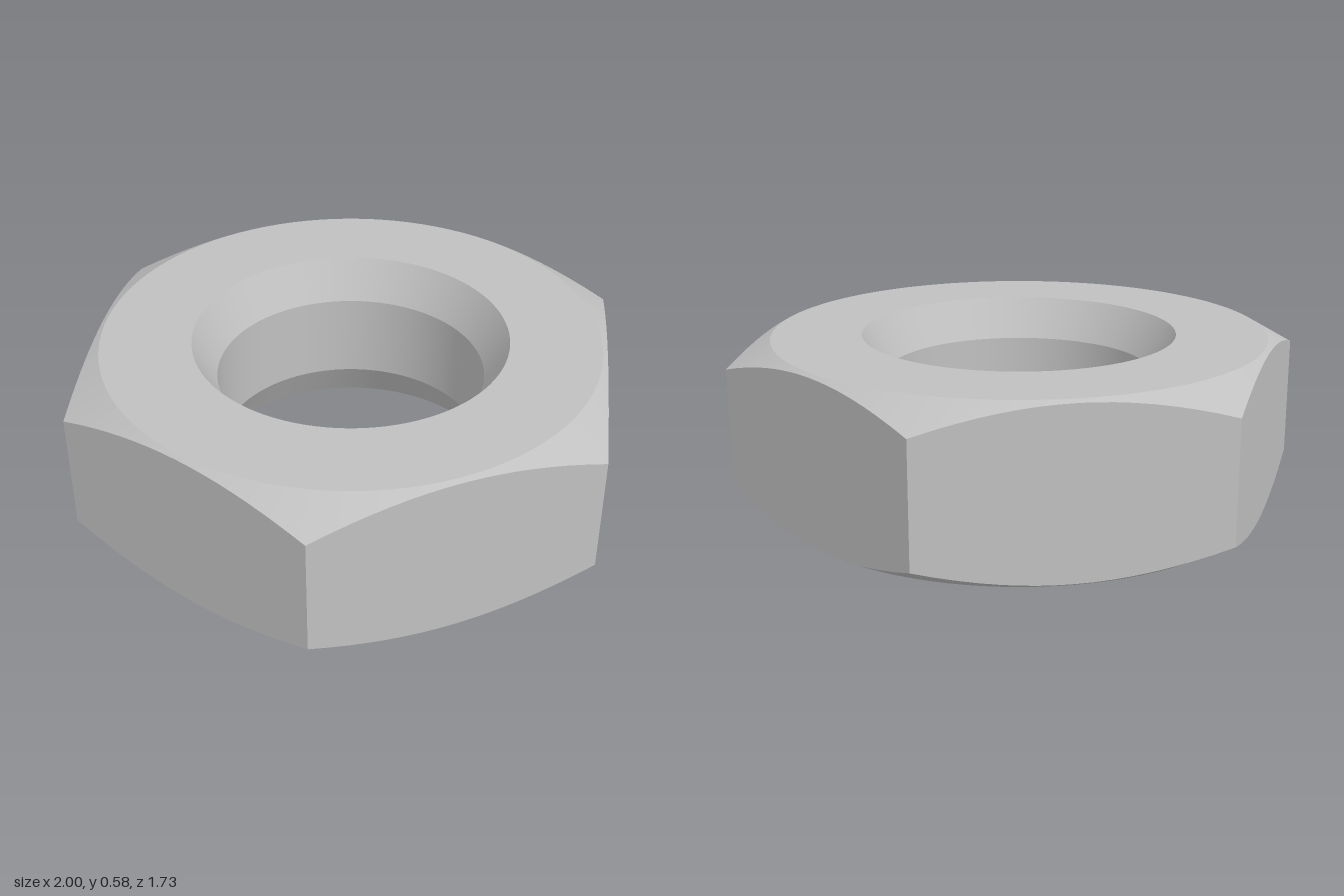
import * as THREE from 'three';

const SEGMENTS = 96;          // multiple of 6, so every hex corner gets a vertex
const HEIGHT = 0.585;
const FLAT_RADIUS = 0.85;     // where the flat end faces meet the corner chamfer
const RIM_RADIUS = 0.54;      // countersink at the hole mouth
const BORE_RADIUS = 0.46;
const SINK_DEPTH = 0.14;

// Distance from the axis to the hexagon outline at an angle
function hexRadius(angle) {
  const sector = Math.PI / 3;
  const local = ((angle % sector) + sector) % sector - sector / 2;
  return Math.cos(sector / 2) / Math.cos(local);
}

// A ring gives [radius, y] for each angle
const circle = (r, y) => () => [r, y];
const hexEdge = (top) => (angle) => {
  const r = hexRadius(angle);
  const drop = (r - FLAT_RADIUS) * Math.tan(Math.PI / 6);
  return [r, top ? HEIGHT - drop : drop];
};

// Surface strip joining two rings around the axis
function band(ringA, ringB, flat) {
  const positions = [], index = [];
  for (let i = 0; i < SEGMENTS; i++) {
    const angle = (i / SEGMENTS) * Math.PI * 2;
    for (const ring of [ringA, ringB]) {
      const [r, y] = ring(angle);
      positions.push(r * Math.cos(angle), y, -r * Math.sin(angle));
    }
    const a = i * 2, b = ((i + 1) % SEGMENTS) * 2;
    index.push(a, b, b + 1, a, b + 1, a + 1);
  }
  let geometry = new THREE.BufferGeometry();
  geometry.setAttribute('position', new THREE.Float32BufferAttribute(positions, 3));
  geometry.setIndex(index);
  if (flat) geometry = geometry.toNonIndexed();
  geometry.computeVertexNormals();
  return geometry;
}

export function createModel() {
  const steel = new THREE.MeshStandardMaterial({ color: 0xc0c0c0 });
  steel.name = 'steel grey';
  const nut = new THREE.Group();
  nut.name = 'hexNut';

  // Closed cross-section: up the outside, in over the top, down the bore, out underneath
  const rings = [
    hexEdge(false),
    hexEdge(true),
    circle(FLAT_RADIUS, HEIGHT),
    circle(RIM_RADIUS, HEIGHT),
    circle(BORE_RADIUS, HEIGHT - SINK_DEPTH),
    circle(BORE_RADIUS, SINK_DEPTH),
    circle(RIM_RADIUS, 0),
    circle(FLAT_RADIUS, 0),
  ];
  const names = ['hexSides', 'topChamfer', 'topFace', 'topCountersink',
    'bore', 'bottomCountersink', 'bottomFace', 'bottomChamfer'];

  names.forEach((name, i) => {
    const geometry = band(rings[i], rings[(i + 1) % rings.length], name === 'hexSides');
    const mesh = new THREE.Mesh(geometry, steel);
    mesh.name = name;
    nut.add(mesh);
  });
  return nut;
}
